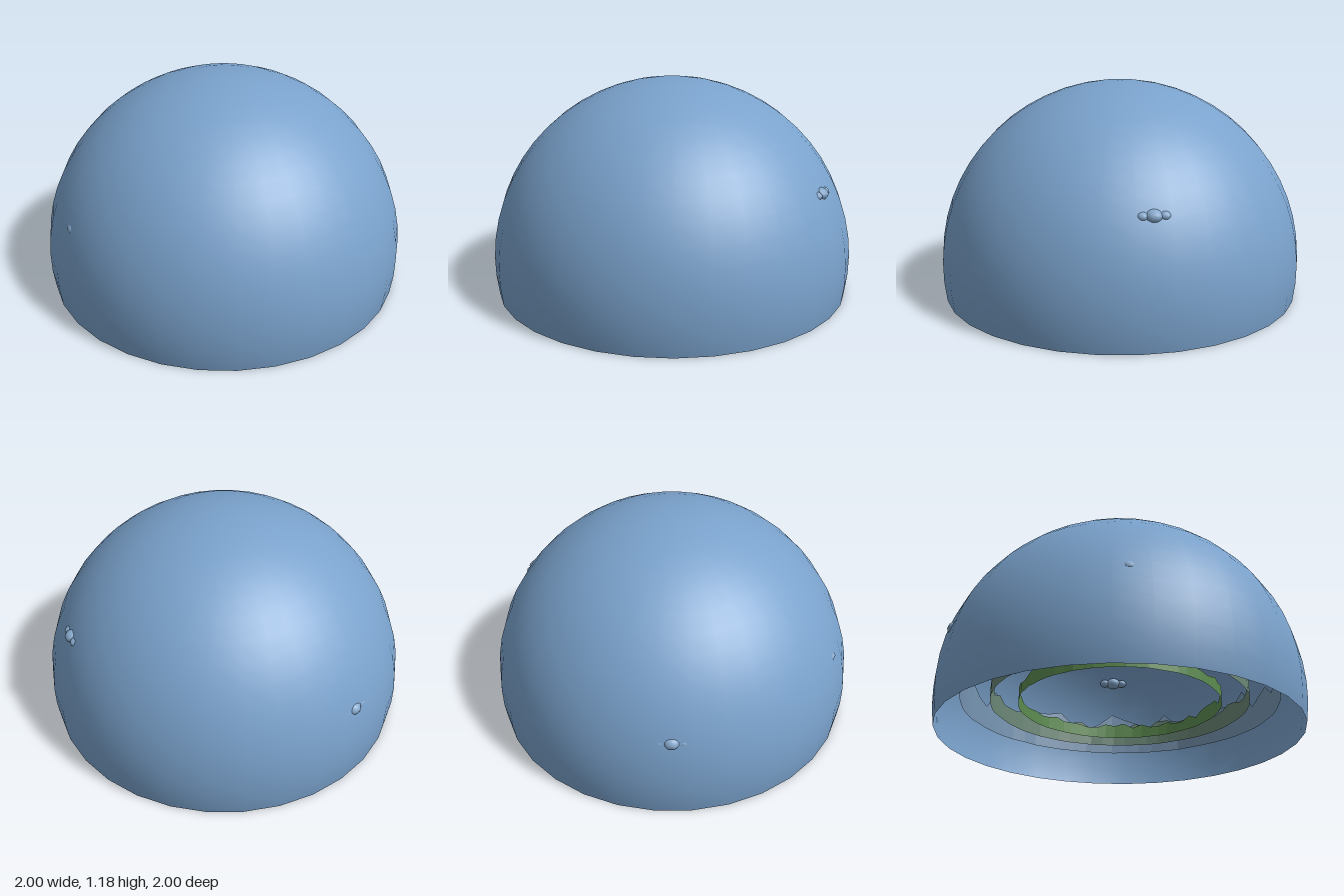
import * as THREE from 'three';

const HORIZON = 0.18;

function material(name, color, extra = {}) {
  const m = new THREE.MeshStandardMaterial({ color, ...extra });
  m.name = name;
  return m;
}

function seeded(seed) {
  return () => {
    seed = (seed * 16807) % 2147483647;
    return seed / 2147483647;
  };
}

// Closed wall with a straight foot and an uneven ridge line
function ridgeRing(name, mat, radius, foot, low, high, segments, seed) {
  const rand = seeded(seed);
  const ridge = Array.from({ length: segments }, () => low + (high - low) * rand());
  const wobble = Array.from({ length: segments }, () => 1 + 0.012 * (rand() - 0.5));
  const geo = new THREE.CylinderGeometry(radius, radius, 1, segments, 1, true);
  const pos = geo.attributes.position;
  for (let i = 0; i < pos.count; i++) {
    const k = i % (segments + 1) % segments;
    const top = pos.getY(i) > 0;
    pos.setXYZ(i, pos.getX(i) * wobble[k], foot + (top ? ridge[k] : 0), pos.getZ(i) * wobble[k]);
  }
  geo.computeVertexNormals();
  const mesh = new THREE.Mesh(geo, mat);
  mesh.name = name;
  return mesh;
}

// Row of flattened puffs lying along the dome wall
function cloud(mat, x, y, z, size, puffs) {
  const group = new THREE.Group();
  group.name = 'cloud';
  const geo = new THREE.SphereGeometry(size, 10, 8);
  for (let i = 0; i < puffs; i++) {
    const offset = i - (puffs - 1) / 2;
    const puff = new THREE.Mesh(geo, mat);
    puff.name = 'cloudPuff';
    const s = 1 - 0.3 * Math.abs(offset);
    puff.scale.set(s, s * 0.75, s);
    puff.position.set(offset * size * 1.2, 0, 0);
    group.add(puff);
  }
  group.position.set(x, y, z);
  group.rotation.y = Math.atan2(x, z);
  return group;
}

export function createModel() {
  const sky = material('sky blue', 0x7aa2cc, { side: THREE.DoubleSide });
  const cloudBlue = material('cloud blue', 0x86a8cc);
  const ridge = { side: THREE.DoubleSide, flatShading: true };
  const mountainBlue = material('mountain blue', 0x7896b4, ridge);
  const hazeGreen = material('haze green', 0x6c8878, ridge);
  const hillGreen = material('hill green', 0x5c8c50, ridge);

  const model = new THREE.Group();
  model.name = 'skyDome';

  // Sky shell, open below and cut a little under the horizon
  const shell = new THREE.Mesh(
    new THREE.SphereGeometry(1, 32, 16, 0, Math.PI * 2, 0, Math.acos(-HORIZON)), sky);
  shell.name = 'skyShell';
  shell.position.y = HORIZON;
  model.add(shell);

  // Landscape rings, from far to near
  model.add(
    ridgeRing('mountainRing', mountainBlue, 0.86, 0.165, 0.13, 0.28, 64, 11),
    ridgeRing('farHillRing', hazeGreen, 0.70, 0.165, 0.09, 0.15, 64, 23),
    ridgeRing('nearHillRing', hillGreen, 0.55, 0.165, 0.05, 0.09, 64, 37));

  // Clouds near the shell; a few just break through it
  const clouds = [
    [0.86, 0.64, 0.09, 0.045, 3],
    [-0.262, 0.44, -0.89, 0.05, 3],
    [-0.89, 0.51, -0.1, 0.05, 3],
    [0.17, 0.53, 0.81, 0.045, 2],
    [-0.17, 0.65, 0.75, 0.03, 3],
    [-0.31, 0.655, 0.70, 0.03, 2],
    [-0.58, 0.53, 0.60, 0.035, 4],
    [-0.735, 0.49, 0.415, 0.04, 2],
    [-0.80, 0.49, 0.27, 0.045, 3],
    [0.55, 0.58, -0.6, 0.04, 3],
  ];
  for (const c of clouds) model.add(cloud(cloudBlue, ...c));

  return model;
}
